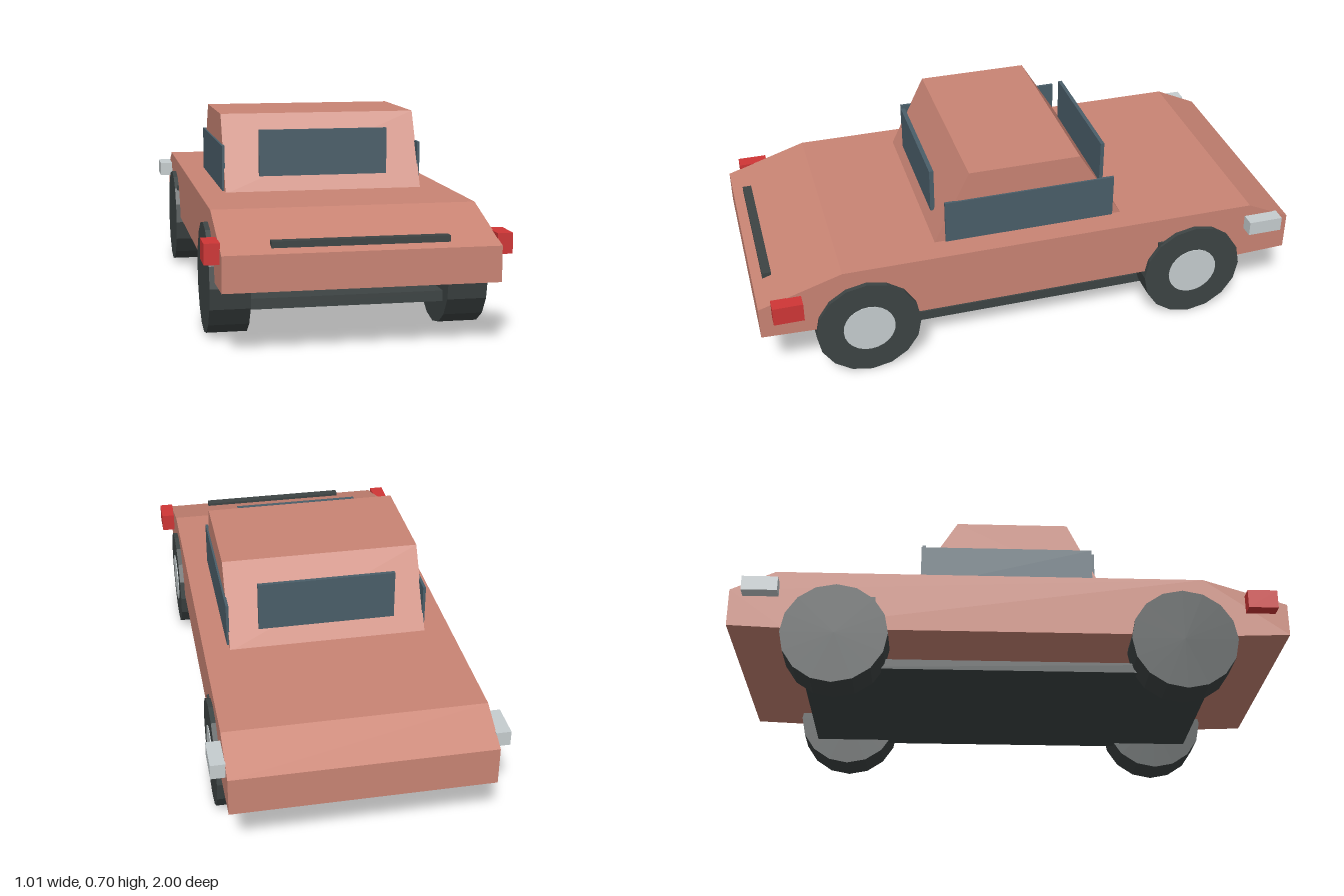
import * as THREE from 'three';

const mat = (name, color) => {
  const m = new THREE.MeshStandardMaterial({ color });
  m.name = name;
  return m;
};

export function createModel() {
  const paint = mat('terracotta paint', 0xc98474);
  const glass = mat('blue grey glass', 0x4a5e69);
  const dark = mat('dark rubber', 0x3d4444);
  const silver = mat('silver', 0xc6cdcf);
  const red = mat('red lamp', 0xcf3636);
  const car = new THREE.Group();
  car.name = 'car';

  const add = (name, geometry, material) => {
    const mesh = new THREE.Mesh(geometry, material);
    mesh.name = name;
    car.add(mesh);
    return mesh;
  };

  // Box given by its lowest and highest corners
  const box = (name, material, [x0, y0, z0], [x1, y1, z1]) => {
    const g = new THREE.BoxGeometry(x1 - x0, y1 - y0, z1 - z0);
    g.translate((x0 + x1) / 2, (y0 + y1) / 2, (z0 + z1) / 2);
    return add(name, g, material);
  };

  // Side profile of [z, y] points, extruded across the width
  const profile = (name, points, halfWidth) => {
    const shape = new THREE.Shape(points.map(([z, y]) => new THREE.Vector2(-z, y)));
    const g = new THREE.ExtrudeGeometry(shape, { depth: halfWidth * 2, bevelEnabled: false });
    g.translate(0, 0, -halfWidth);
    g.rotateY(Math.PI / 2);
    return add(name, g, paint);
  };

  // Body and cabin
  profile('body', [[1, 0.22], [0.8, 0.212], [-0.8, 0.212], [-1, 0.22],
    [-1, 0.36], [-0.84, 0.435], [0.7, 0.435], [1, 0.34]], 0.455);
  profile('cabin', [[0.35, 0.43], [-0.362, 0.43], [-0.193, 0.705], [0.217, 0.705]], 0.36);

  // Upright window panes
  box('windshield', glass, [-0.235, 0.488, 0.316], [0.235, 0.655, 0.332]);
  box('rearWindow', glass, [-0.25, 0.49, -0.326], [0.25, 0.672, -0.312]);

  // Underbody and trim bars
  box('floorPlate', dark, [-0.37, 0.1, -0.74], [0.37, 0.137, 0.74]);
  box('grille', dark, [-0.292, 0.345, 0.93], [0.292, 0.373, 0.963]);
  box('rearCrossBar', dark, [-0.463, 0.305, -0.52], [0.463, 0.337, -0.48]);

  for (const [side, s] of [['left', 1], ['right', -1]]) {
    // Mirrored side parts
    const sideBox = (name, material, a, b) => s > 0
      ? box(name, material, a, b)
      : box(name, material, [-b[0], a[1], a[2]], [-a[0], b[1], b[2]]);
    sideBox(side + 'Window', glass, [0.357, 0.43, -0.325], [0.367, 0.598, 0.308]);
    sideBox(side + 'FrontLamp', red, [0.453, 0.303, 0.848], [0.505, 0.372, 0.955]);
    sideBox(side + 'RearLamp', silver, [0.453, 0.336, -0.952], [0.505, 0.39, -0.824]);

    // Wheels, each with its hub disc on the +x face
    for (const [end, z] of [['Front', 0.62], ['Rear', -0.62]]) {
      const tyre = new THREE.CylinderGeometry(0.19, 0.19, 0.137, 16).toNonIndexed();
      tyre.computeVertexNormals();
      tyre.rotateZ(-Math.PI / 2);
      add(side + end + 'Wheel', tyre, dark).position.set(s * 0.4035, 0.191, z);
      const hub = new THREE.CylinderGeometry(0.094, 0.094, 0.006, 24);
      hub.rotateZ(-Math.PI / 2);
      add(side + end + 'Hub', hub, silver).position.set(s * 0.4035 + 0.0685, 0.191, z);
    }
  }
  return car;
}
